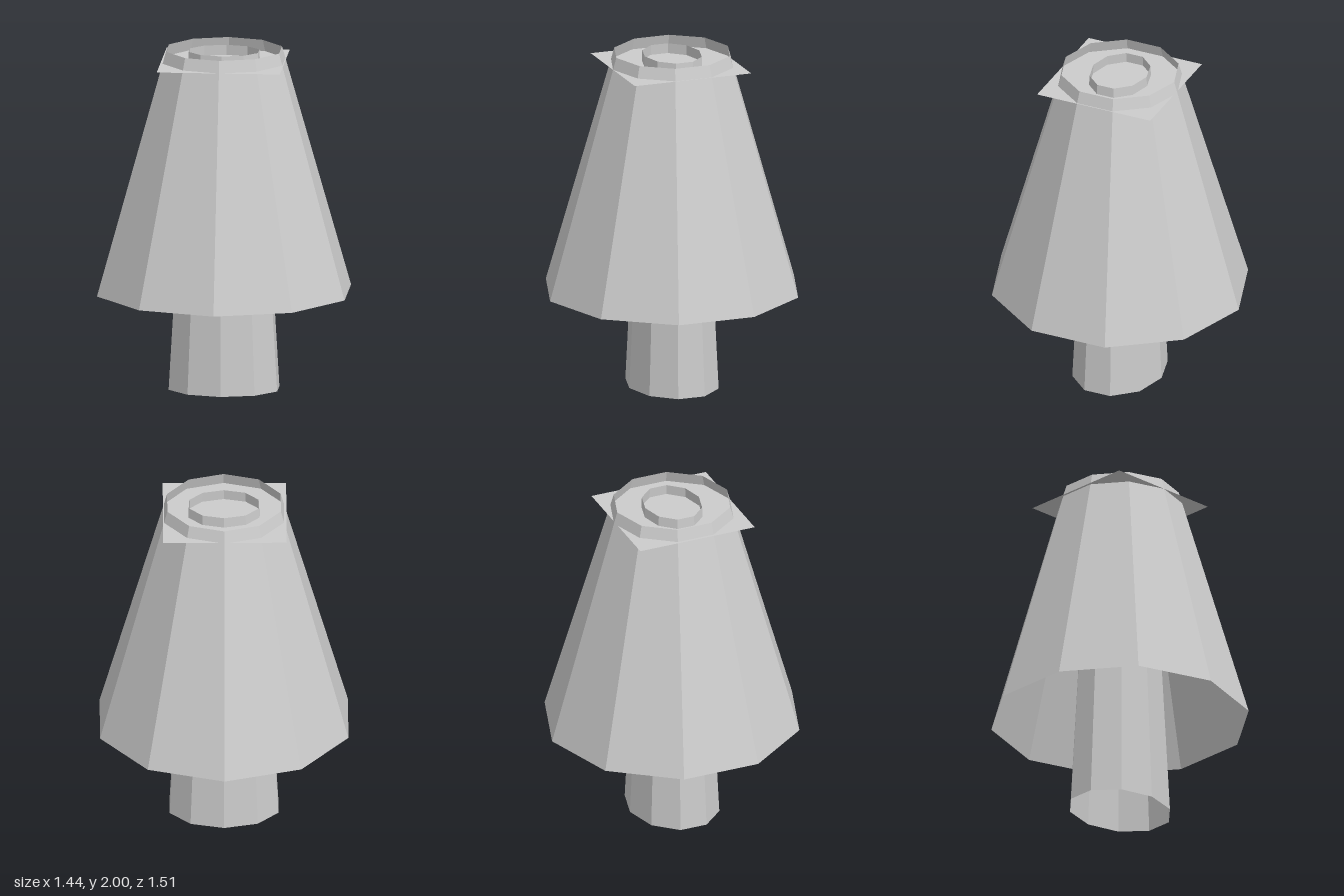
import * as THREE from 'three';

const SIDES = 10;

export function createModel() {
  const group = new THREE.Group();
  group.name = 'tableLamp';
  const grey = new THREE.MeshStandardMaterial({ color: 0xcccccc, side: THREE.DoubleSide, flatShading: true });
  grey.name = 'plainGrey';

  // Open ten-sided tapered tube standing from y0 to y1
  function taperedTube(name, rTop, rBottom, y0, y1, zScale = 1) {
    const geometry = new THREE.CylinderGeometry(rTop, rBottom, y1 - y0, SIDES, 1, true);
    geometry.scale(1, 1, zScale);
    geometry.translate(0, (y0 + y1) / 2, 0);
    const mesh = new THREE.Mesh(geometry, grey);
    mesh.name = name;
    group.add(mesh);
  }

  // Wide shade and the slightly flattened stem running up inside it
  taperedTube('shade', 0.345, 0.755, 0.575, 2);
  taperedTube('stem', 0.211, 0.331, 0, 1.99, 0.8);

  // Flat square sheet just below the rim
  const sheet = new THREE.Mesh(new THREE.PlaneGeometry(0.714, 0.72).rotateX(-Math.PI / 2), grey);
  sheet.name = 'topSheet';
  sheet.position.set(-0.004, 1.93, 0.005);
  group.add(sheet);

  return group;
}
